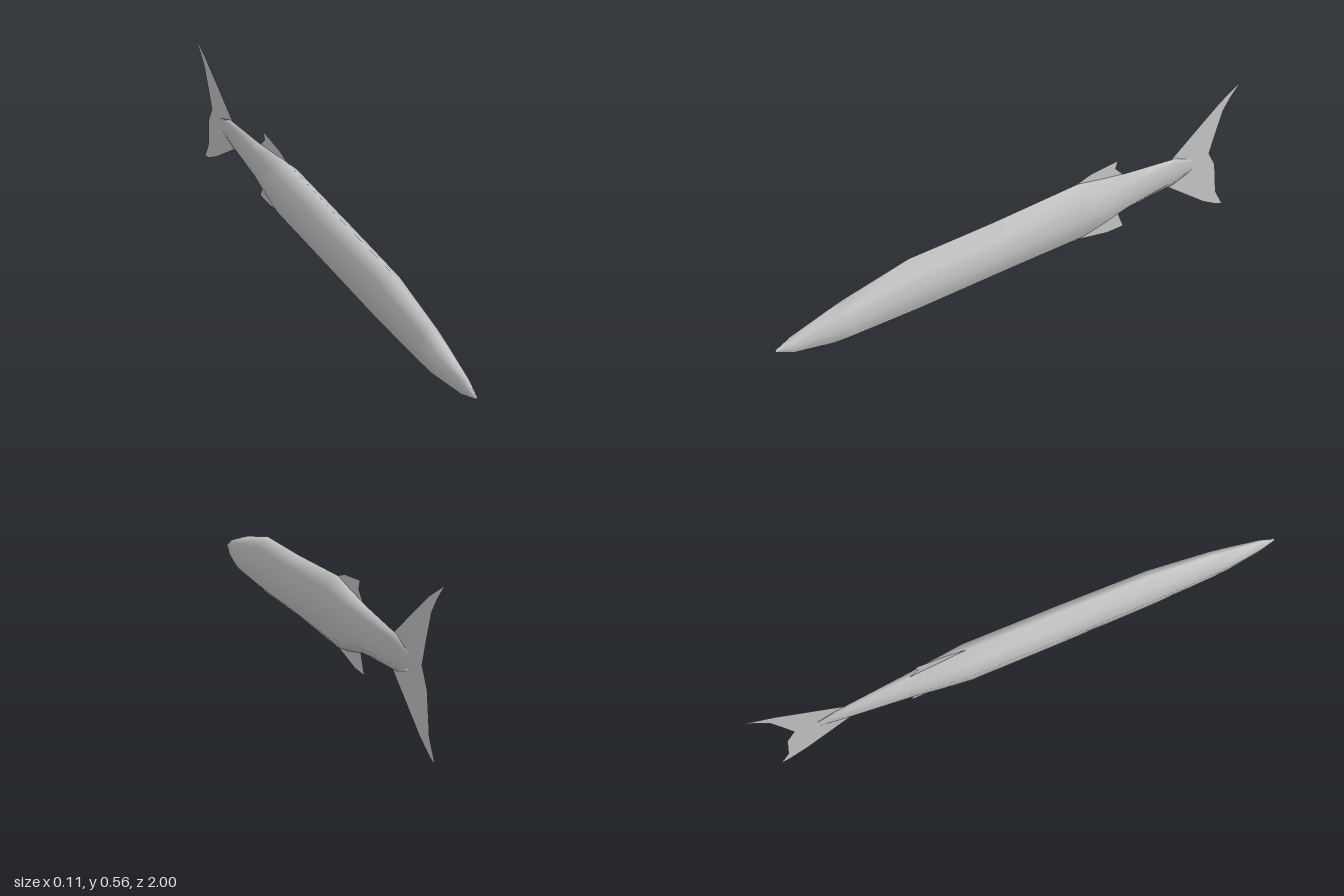
import * as THREE from 'three';

const silver = new THREE.MeshStandardMaterial({ color: 0xc4c4c4 });
silver.name = 'silver grey';
silver.side = THREE.DoubleSide;

// Body stations from nose to tail: z, top, bottom, half width
const STATIONS = [
  [1.0, 0.253, 0.247, 0.004],
  [0.94, 0.283, 0.211, 0.017],
  [0.8, 0.324, 0.176, 0.034],
  [0.74, 0.34, 0.172, 0.039],
  [0.49, 0.39, 0.16, 0.051],
  [0.15, 0.39, 0.16, 0.056],
  [-0.22, 0.4, 0.147, 0.054],
  [-0.32, 0.379, 0.163, 0.045],
  [-0.44, 0.357, 0.19, 0.033],
  [-0.69, 0.325, 0.207, 0.009],
  [-0.78, 0.285, 0.235, 0.001],
];

// Eight-sided cross-section: share of half width, share of half height
const SECTION = [[0, 1], [0.77, 0.65], [1, 0], [0.77, -0.66], [0, -1], [-0.77, -0.66], [-1, 0], [-0.77, 0.65]];

function createBody() {
  const positions = [], index = [], n = SECTION.length;
  for (const [z, top, bottom, w] of STATIONS) {
    const mid = (top + bottom) / 2, h = (top - bottom) / 2;
    for (const [u, v] of SECTION) positions.push(u * w, mid + v * h, z);
  }
  for (let i = 0; i < STATIONS.length - 1; i++) {
    for (let j = 0; j < n; j++) {
      const a = i * n + j, b = i * n + (j + 1) % n;
      index.push(a, b, a + n, b, b + n, a + n);
    }
  }
  // Close the nose and the tail end
  const last = (STATIONS.length - 1) * n;
  for (let j = 1; j < n - 1; j++) {
    index.push(0, j + 1, j);
    index.push(last, last + j, last + j + 1);
  }
  const geometry = new THREE.BufferGeometry();
  geometry.setAttribute('position', new THREE.Float32BufferAttribute(positions, 3));
  geometry.setIndex(index);
  geometry.computeVertexNormals();
  return geometry;
}

// Flat fin in the middle plane from an outline of (z, y) points
function createFin(outline) {
  const shape = new THREE.Shape(outline.map(([z, y]) => new THREE.Vector2(-z, y)));
  return new THREE.ShapeGeometry(shape).rotateY(Math.PI / 2);
}

export function createModel() {
  const model = new THREE.Group();
  model.name = 'fish';
  const add = (name, geometry) => {
    const mesh = new THREE.Mesh(geometry, silver);
    mesh.name = name;
    model.add(mesh);
  };

  add('body', createBody());
  add('tailFin', createFin([
    [-0.66, 0.32], [-0.78, 0.41], [-0.9, 0.498], [-1, 0.555], [-0.955, 0.505], [-0.92, 0.455],
    [-0.89, 0.36], [-0.867, 0.28], [-0.904, 0.214], [-0.925, 0.075], [-0.968, 0], [-0.93, 0.014],
    [-0.86, 0.055], [-0.66, 0.207],
  ]));
  add('dorsalFin', createFin([
    [-0.2, 0.395], [-0.278, 0.418], [-0.406, 0.428], [-0.396, 0.396], [-0.433, 0.357], [-0.3, 0.36],
  ]));
  add('analFin', createFin([
    [-0.22, 0.15], [-0.37, 0.118], [-0.447, 0.116], [-0.417, 0.188], [-0.3, 0.175],
  ]));
  return model;
}
